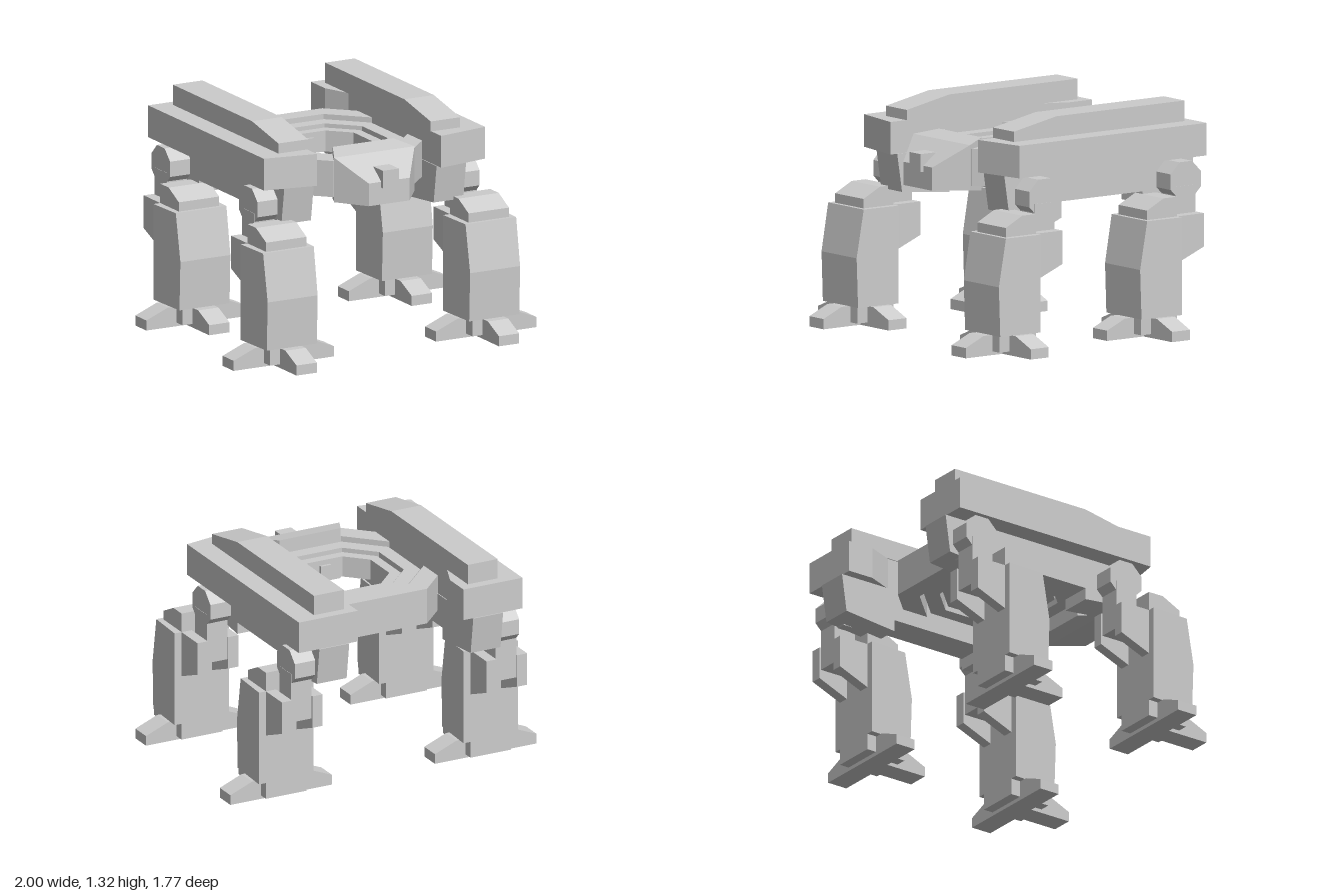
import * as THREE from 'three';

const mat = new THREE.MeshStandardMaterial({ color: 0xcccccc, flatShading: true });

function add(parent, name, geometry) {
  const m = new THREE.Mesh(geometry, mat);
  m.name = name;
  parent.add(m);
  return m;
}

const shapeOf = pts => new THREE.Shape(pts.map(p => new THREE.Vector2(p[0], p[1])));

// Box from its minimum and maximum on each axis
function box(x0, x1, y0, y1, z0, z1) {
  return new THREE.BoxGeometry(x1 - x0, y1 - y0, z1 - z0)
    .translate((x0 + x1) / 2, (y0 + y1) / 2, (z0 + z1) / 2);
}

// Side profile of [z, y] points, extruded from x0 to x1
function side(pts, x0, x1) {
  return new THREE.ExtrudeGeometry(shapeOf(pts), { depth: x1 - x0, bevelEnabled: false })
    .rotateY(-Math.PI / 2).translate(x1, 0, 0);
}

// Plan shape of [x, z] points, extruded from y0 to y1
function plan(shape, y0, y1) {
  return new THREE.ExtrudeGeometry(shape, { depth: y1 - y0, bevelEnabled: false })
    .rotateX(Math.PI / 2).translate(0, y1, 0);
}

// Loft through rectangles [z, halfWidth, yBottom, yTop], ordered back to front
function loft(sections) {
  const pos = [], idx = [];
  for (const [z, w, b, t] of sections) pos.push(-w, b, z, w, b, z, w, t, z, -w, t, z);
  for (let s = 0; s < sections.length - 1; s++) {
    for (let i = 0; i < 4; i++) {
      const a = s * 4 + i, c = s * 4 + (i + 1) % 4;
      idx.push(a, c, c + 4, a, c + 4, a + 4);
    }
  }
  const e = (sections.length - 1) * 4;
  idx.push(0, 2, 1, 0, 3, 2, e, e + 1, e + 2, e, e + 2, e + 3);
  const g = new THREE.BufferGeometry();
  g.setAttribute('position', new THREE.Float32BufferAttribute(pos, 3));
  g.setIndex(idx);
  g.computeVertexNormals();
  return g;
}

// Square with cut corners, a = half width
function octagon(a) {
  const k = a * 0.49;
  return [[a, -k], [a, k], [k, a], [-k, a], [-a, k], [-a, -k], [-k, -a], [k, -a]];
}

// Leg built around x = 0, with the hip axis at z = 0.31
function makeLeg() {
  const leg = new THREE.Group();
  const hip = new THREE.CylinderGeometry(0.119, 0.119, 0.19, 8, 1, false, Math.PI / 8);
  add(leg, 'hipJoint', hip.rotateZ(Math.PI / 2).translate(-0.03, 0.88, 0.31));
  add(leg, 'hipStrut', box(-0.067, 0.067, 0.55, 0.85, 0.24, 0.385));

  // Shin, slightly narrower at the front
  const shin = side([[0.425, 0.12], [0.71, 0.12], [0.72, 0.41], [0.67, 0.69], [0.425, 0.69]], -0.178, 0.178);
  const p = shin.attributes.position;
  for (let i = 0; i < p.count; i++) {
    p.setX(i, p.getX(i) * (1 - 0.25 * (p.getZ(i) - 0.425)));
  }
  add(leg, 'shin', shin);
  add(leg, 'kneeCap', side([[0.425, 0.69], [0.645, 0.69], [0.645, 0.745], [0.525, 0.805], [0.425, 0.805]], -0.133, 0.133));

  // Fork plates holding the strut behind the shin
  for (const s of [-1, 1]) {
    add(leg, 'forkPlate', side([[0.44, 0.41], [0.23, 0.495], [0.23, 0.69], [0.44, 0.69]], s * 0.1 - 0.033, s * 0.1 + 0.033));
  }

  // Foot with one front toe and two side toes
  add(leg, 'ankle', box(-0.133, 0.133, 0.022, 0.125, 0.425, 0.69));
  add(leg, 'frontToe', side([[0.5, 0], [0.885, 0], [0.885, 0.06], [0.755, 0.118], [0.5, 0.118]], -0.067, 0.067));
  const toes = shapeOf([[-0.332, 0], [0.332, 0], [0.332, 0.06], [0.19, 0.118], [-0.19, 0.118], [-0.332, 0.06]]);
  add(leg, 'sideToes', new THREE.ExtrudeGeometry(toes, { depth: 0.13, bevelEnabled: false }).translate(0, 0, 0.487));
  return leg;
}

export function createModel() {
  const model = new THREE.Group();
  model.name = 'fourLeggedWalker';

  for (const s of [-1, 1]) {
    const rail = new THREE.Group();
    rail.name = s > 0 ? 'leftRail' : 'rightRail';
    model.add(rail);
    const x0 = Math.min(s * 0.405, s * 0.6), x1 = Math.max(s * 0.405, s * 0.6);

    // Main beam with slanted nose and flared inner rear
    const beam = [[0.41, 0.545], [0.73, 0.49], [0.73, -0.875], [0.345, -0.875], [0.345, -0.71], [0.41, -0.55]];
    add(rail, 'beam', plan(shapeOf(beam.map(([x, z]) => [s * x, z])), 1.01, 1.2));
    add(rail, 'topRidge', side([[0.43, 1.2], [0.43, 1.26], [0.12, 1.32], [-0.815, 1.32], [-0.815, 1.2]], x0, x1));
    add(rail, 'lowerBeam', side([[0.5, 1.01], [0.465, 0.785], [0.12, 0.75], [0.12, 0.82],
      [-0.507, 0.82], [-0.507, 0.75], [-0.85, 0.785], [-0.882, 1.01]], x0, x1));

    for (const front of [true, false]) {
      const leg = makeLeg();
      leg.name = (front ? 'front' : 'rear') + (s > 0 ? 'Left' : 'Right') + 'Leg';
      // Hip joints reach inward to the rail
      leg.getObjectByName('hipJoint').position.x = s > 0 ? 0 : 0.06;
      leg.position.set(s * 0.668, 0, front ? 0 : -1.03);
      model.add(leg);
    }
  }

  // Nested rings: [outer half width, inner half width, bottom, top]
  const rings = new THREE.Group();
  rings.name = 'rings';
  rings.position.z = -0.06;
  model.add(rings);
  const sizes = [[0.53, 0.415, 0.905, 1.12], [0.395, 0.31, 0.93, 1.095], [0.295, 0.235, 0.95, 1.075]];
  sizes.forEach(([outer, inner, y0, y1], i) => {
    const shape = shapeOf(octagon(outer));
    shape.holes.push(new THREE.Path(octagon(inner).map(p => new THREE.Vector2(p[0], p[1]))));
    add(rings, ['outerRing', 'middleRing', 'innerRing'][i], plan(shape, y0, y1));
  });
  // Pivot pins between the rings
  for (const s of [-1, 1]) {
    add(rings, 'sidePin', box(-0.06, 0.06, 0.98, 1.045, -0.033, 0.033)).position.x = s * 0.4;
    add(rings, 'endPin', box(-0.033, 0.033, 0.98, 1.045, -0.055, 0.055)).position.z = s * 0.273;
  }

  // Head with a single square eye
  add(model, 'head', loft([[0.355, 0.2, 0.86, 1.17], [0.49, 0.265, 0.88, 1.145], [0.665, 0.135, 0.88, 1.015]]));
  add(model, 'eye', side([[0.56, 1.085], [0.685, 1.085], [0.685, 0.98], [0.65, 0.98], [0.56, 1.03]], -0.053, 0.053));
  return model;
}
